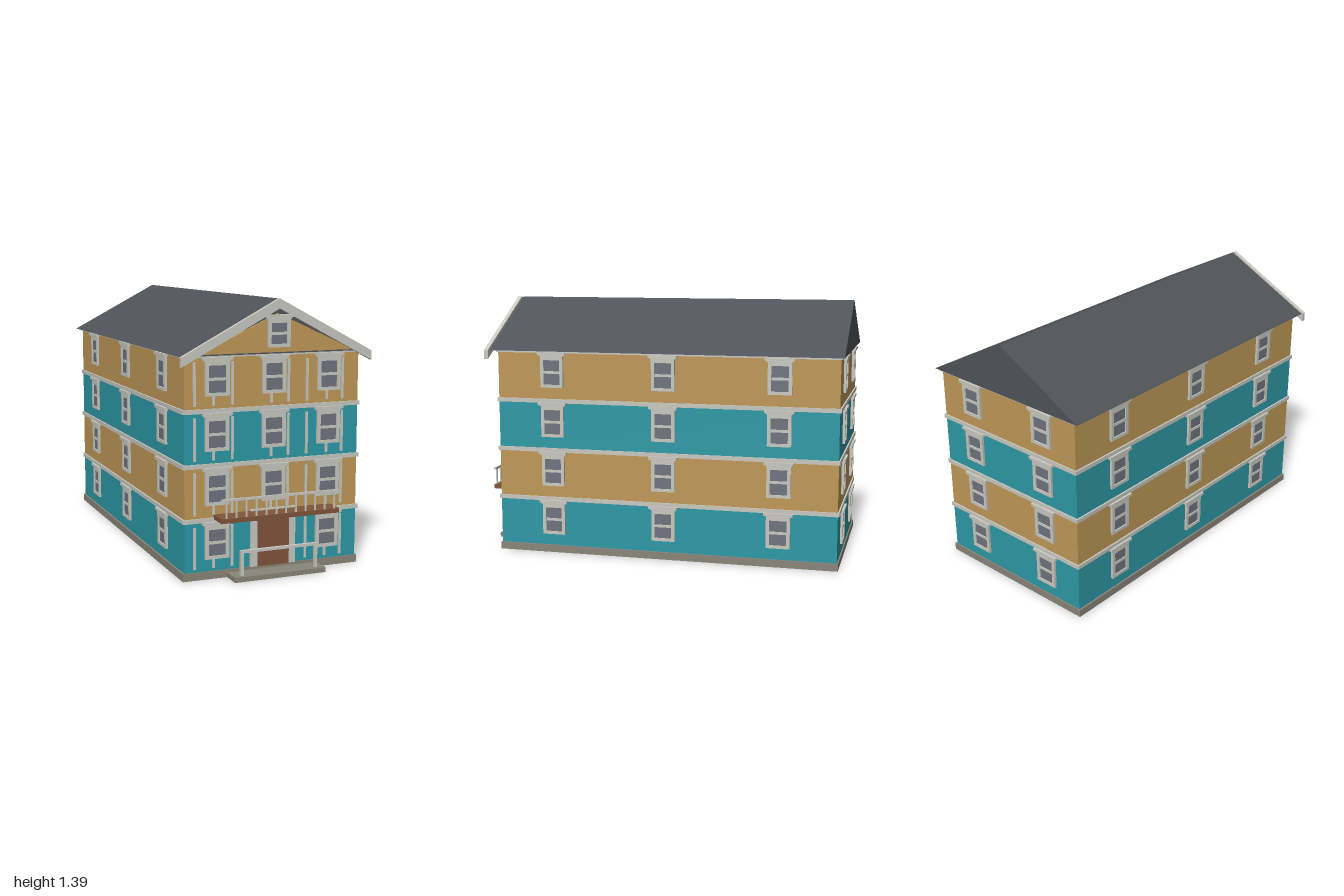
import * as THREE from 'three';

const mat = (name, color) => {
  const m = new THREE.MeshStandardMaterial({ color });
  m.name = name;
  return m;
};

export function createModel() {
  const teal = mat('teal siding', 0x2e9aa6);
  const ochre = mat('ochre siding', 0xc09858);
  const trim = mat('pale trim', 0xc9c9c1);
  const slate = mat('slate roof', 0x50545a);
  const glassMat = mat('window glass', 0x70747f);
  const wood = mat('brown wood', 0x80553a);
  const stone = mat('grey stone', 0x8a8578);

  const model = new THREE.Group();
  model.name = 'house';

  // Box given by its limits on each axis
  const box = (name, material, x0, x1, y0, y1, z0, z1, parent = model) => {
    const mesh = new THREE.Mesh(new THREE.BoxGeometry(x1 - x0, y1 - y0, z1 - z0), material);
    mesh.position.set((x0 + x1) / 2, (y0 + y1) / 2, (z0 + z1) / 2);
    mesh.name = name;
    parent.add(mesh);
    return mesh;
  };

  // Flat outline in x, y pushed along z from z0 to z1
  const slab = (name, material, points, z0, z1) => {
    const shape = new THREE.Shape(points.map(([x, y]) => new THREE.Vector2(x, y)));
    const geo = new THREE.ExtrudeGeometry(shape, { depth: z1 - z0, bevelEnabled: false });
    const mesh = new THREE.Mesh(geo, material);
    mesh.position.z = z0;
    mesh.name = name;
    model.add(mesh);
  };

  const W = 0.475, FRONT = 0.89, BACK = -0.978, PITCH = 0.2725;

  // Foundation and front step
  box('foundation', stone, -0.485, 0.485, 0, 0.04, -0.985, 0.895);
  box('frontStep', stone, -0.25, 0.25, 0, 0.025, 0.895, 1);

  // Four storeys in alternating colours, each topped by a trim band
  const levels = [0.04, 0.302, 0.575, 0.847, 1.12];
  for (let i = 0; i < 4; i++) {
    box('storey', i % 2 ? ochre : teal, -W, W, levels[i], levels[i + 1], BACK, FRONT);
    const top = i === 3 ? 1.1195 : levels[i + 1] + 0.011;
    box('storeyBand', trim, -0.484, 0.484, levels[i + 1] - 0.011, top, BACK - 0.008, FRONT + 0.008);
  }

  // Window: origin at the bottom centre of the frame, facing +z
  const makeWindow = (w, h) => {
    const g = new THREE.Group();
    g.name = 'window';
    const b = w * 0.145;
    const shape = new THREE.Shape([
      new THREE.Vector2(-w / 2, 0), new THREE.Vector2(w / 2, 0),
      new THREE.Vector2(w / 2, h), new THREE.Vector2(-w / 2, h),
    ]);
    const hx = w / 2 - b, hy0 = 0.016, hy1 = h - 0.028;
    shape.holes.push(new THREE.Path([
      new THREE.Vector2(-hx, hy0), new THREE.Vector2(-hx, hy1),
      new THREE.Vector2(hx, hy1), new THREE.Vector2(hx, hy0),
    ]));
    const frame = new THREE.Mesh(
      new THREE.ExtrudeGeometry(shape, { depth: 0.013, bevelEnabled: false }), trim);
    frame.name = 'windowFrame';
    g.add(frame);
    const mid = (hy0 + hy1) / 2;
    box('windowGlass', glassMat, -hx, hx, hy0, hy1, 0, 0.006, g);
    box('windowRail', trim, -hx, hx, mid - 0.007, mid + 0.007, 0, 0.011, g);
    box('windowLintel', trim, -w / 2 - 0.007, w / 2 + 0.007, h - 0.007, h + 0.007, 0, 0.017, g);
    box('windowCap', trim, -w / 2 - 0.015, w / 2 + 0.015, h - 0.001, h + 0.013, 0, 0.021, g);
    return g;
  };
  const placeWindow = (x, y, z, angle, w = 0.128, h = 0.178) => {
    const g = makeWindow(w, h);
    g.position.set(x, y, z);
    g.rotation.y = angle;
    model.add(g);
  };

  for (let i = 0; i < 4; i++) {
    const y = 0.103 + PITCH * i;
    for (const x of [-0.305, 0, 0.305]) {
      if (i > 0 || x !== 0) placeWindow(x, y, FRONT, 0);
    }
    for (const x of [-0.25, 0.25]) placeWindow(x, y, BACK, Math.PI);
    for (const z of [0.579, -0.043, -0.667]) {
      placeWindow(W, y, z, Math.PI / 2);
      placeWindow(-W, y, z, -Math.PI / 2);
    }
    // Vertical battens on the front wall
    for (const x of [-0.423, -0.322, -0.223, -0.013, 0.081, 0.184, 0.296, 0.384]) {
      const underWindow = [-0.322, -0.013, 0.296].includes(x);
      if (i === 0 && Math.abs(x) < 0.1) continue;
      const y0 = 0.056 + PITCH * i;
      box('batten', trim, x - 0.0065, x + 0.0065, y0, underWindow ? y : y0 + 0.214, FRONT, FRONT + 0.007);
    }
  }

  // Front door and surround
  for (const s of [-1, 1]) {
    box('doorSurround', trim, s * 0.1055 - 0.0185, s * 0.1055 + 0.0185, 0.04, 0.295, FRONT, FRONT + 0.012);
  }
  box('doorHead', trim, -0.124, 0.124, 0.295, 0.336, FRONT, FRONT + 0.012);
  box('door', wood, -0.087, 0.087, 0.04, 0.295, FRONT, FRONT + 0.015);

  // Balcony and railing
  box('balconyFloor', wood, -0.322, 0.322, 0.305, 0.328, FRONT, 1);
  box('balconyRail', trim, -0.322, 0.322, 0.414, 0.426, 0.989, 0.999);
  for (let i = 0; i < 12; i++) {
    const x = -0.295 + i * 0.0536;
    box('baluster', trim, x - 0.004, x + 0.004, 0.328, 0.416, 0.99, 0.998);
  }

  // Step handrail
  for (const x of [-0.203, 0.203]) {
    box('handrailPost', trim, x - 0.008, x + 0.008, 0.025, 0.146, 0.965, 0.981);
  }
  box('handrail', trim, -0.212, 0.212, 0.14, 0.154, 0.965, 0.981);

  // Gabled roof, front gable panel, rake boards and attic window
  slab('roof', slate, [[-0.512, 1.12], [0.512, 1.12], [0, 1.39]], -0.998, 0.925);
  slab('gablePanel', ochre, [[-0.418, 1.128], [0.418, 1.128], [0, 1.318]], 0.925, 0.94);
  slab('rakeBoards', trim, [
    [-0.514, 1.072], [0, 1.342], [0.514, 1.072],
    [0.514, 1.12], [0, 1.391], [-0.514, 1.12],
  ], 0.934, 0.957);
  placeWindow(0, 1.153, 0.942, 0, 0.12, 0.147);

  return model;
}
